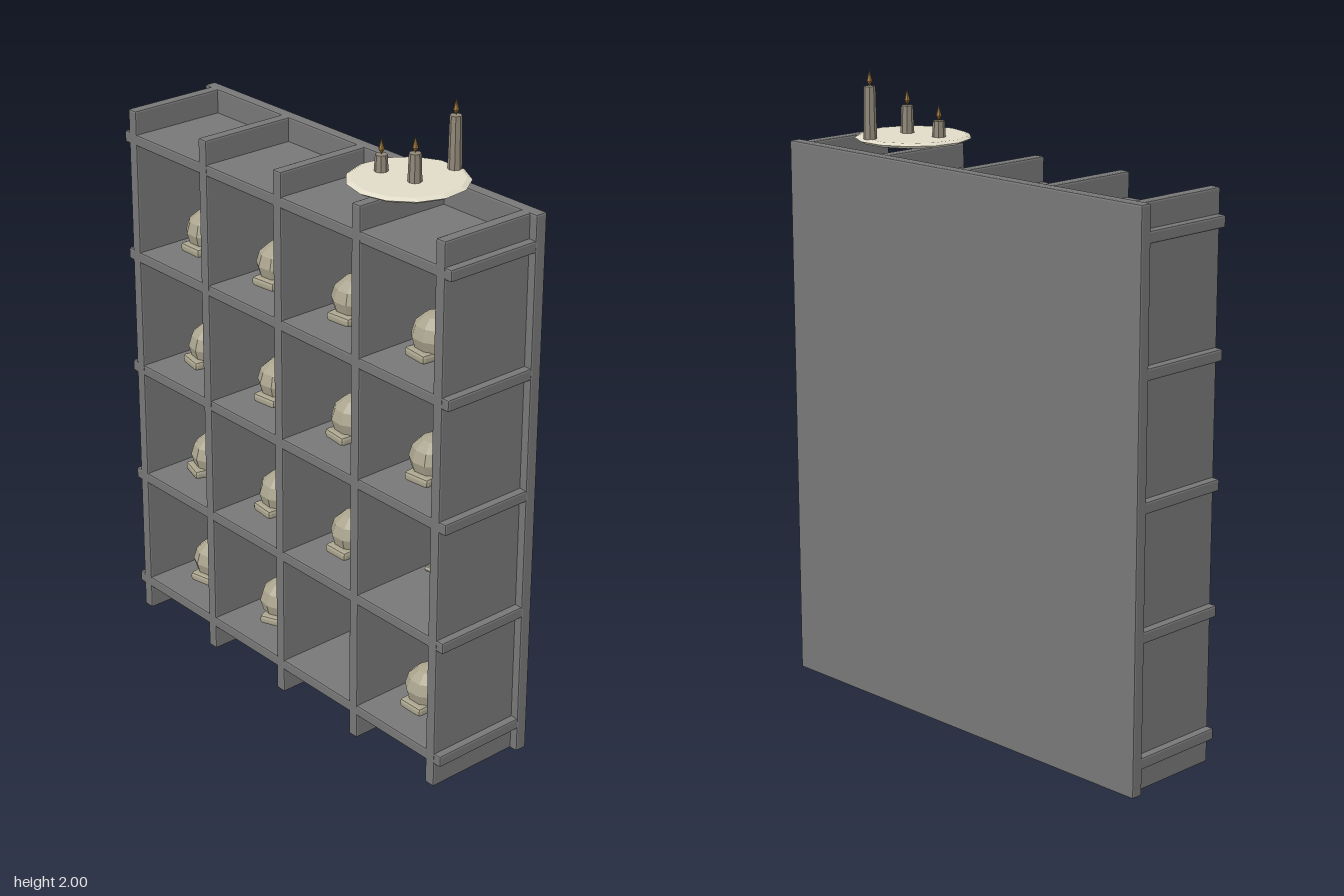
import * as THREE from 'three';
import { RoundedBoxGeometry } from 'three/addons/geometries/RoundedBoxGeometry.js';

const material = (color) => new THREE.MeshStandardMaterial({ color, flatShading: true });
const wood = material(0x777777);
const bone = material(0xaaa48e);
const wax = material(0x8f8778);
const cream = material(0xe0dbc8);
const flameGold = material(0x9a7433);

function add(parent, name, geometry, mat, x = 0, y = 0, z = 0) {
  const mesh = new THREE.Mesh(geometry, mat);
  mesh.name = name;
  mesh.position.set(x, y, z);
  parent.add(mesh);
  return mesh;
}

const plank = (w, h, d) => new RoundedBoxGeometry(w, h, d, 1, 0.006);

// Skull: faceted cranium with a small jaw at the front
function makeSkull(yaw) {
  const skull = new THREE.Group();
  skull.name = 'skull';
  const cranium = add(skull, 'cranium', new THREE.SphereGeometry(0.077, 10, 6), bone);
  cranium.scale.y = 0.92;
  add(skull, 'jaw', new RoundedBoxGeometry(0.09, 0.03, 0.06, 1, 0.01), bone, 0, -0.047, 0.055);
  skull.rotation.y = yaw;
  return skull;
}

// Two thin bones lying crossed at a shallow angle
function makeCrossedBones() {
  const bones = new THREE.Group();
  bones.name = 'crossedBones';
  for (const side of [-1, 1]) {
    const rod = add(bones, 'bone', new THREE.CylinderGeometry(0.009, 0.009, 0.22, 6), bone, 0, side * 0.002, 0);
    rod.rotation.set(0, side * 0.22, Math.PI / 2);
  }
  return bones;
}

// Candle with a pointed flame; its foot is at the group origin
function makeCandle(height) {
  const candle = new THREE.Group();
  candle.name = 'candle';
  add(candle, 'candleBody', new THREE.CylinderGeometry(0.018, 0.021, height, 8), wax, 0, height / 2, 0);
  const profile = [[0, 0], [0.009, 0.015], [0, 0.05]].map(([r, y]) => new THREE.Vector2(r, y));
  add(candle, 'flame', new THREE.LatheGeometry(profile, 6), flameGold, 0, height, 0);
  return candle;
}

export function createModel() {
  const model = new THREE.Group();
  model.name = 'boneShelf';

  // Shelf lattice: back panel, five uprights and five boards
  const shelf = new THREE.Group();
  shelf.name = 'shelf';
  model.add(shelf);
  const stepX = 0.345, stepY = 0.389, bottomY = 0.098;
  add(shelf, 'backPanel', plank(1.47, 1.75, 0.04), wood, 0, 0.875, -0.16);
  for (let i = 0; i < 5; i++) {
    add(shelf, 'upright', plank(0.037, 1.748, 0.357), wood, (i - 2) * stepX, 0.875, 0.0015);
    add(shelf, 'board', plank(1.466, 0.037, 0.355), wood, 0, bottomY + i * stepY, 0.0005);
  }

  // Contents, bottom row first: s = skull, b = bones, x = both
  const rows = ['sxbs', 'sxxb', 'sssx', 'xsss'];
  const yaws = [
    [0.2, 0.4, 0, 0],
    [-0.3, -0.1, 0, 0],
    [-0.2, 0.1, -0.1, 0.1],
    [0, 0.1, 0.1, -0.1],
  ];
  rows.forEach((row, r) => [...row].forEach((kind, c) => {
    const x = (c - 1.5) * stepX;
    const y = bottomY + r * stepY + 0.0185;
    if (kind !== 'b') {
      const skull = makeSkull(yaws[r][c]);
      skull.position.set(x, y + 0.083, 0.02);
      model.add(skull);
    }
    if (kind !== 's') {
      const bones = makeCrossedBones();
      bones.position.set(x, y + 0.024, -0.08);
      model.add(bones);
    }
  }));

  // Thin dish on top carrying three candles
  const dish = new THREE.Group();
  dish.name = 'candleDish';
  dish.position.set(0.365, 1.775, 0);
  model.add(dish);
  const dishProfile = [[0, 0], [0.165, 0], [0.18, 0.009], [0.165, 0.016], [0, 0.016]]
    .map(([r, y]) => new THREE.Vector2(r, y));
  add(dish, 'dish', new THREE.LatheGeometry(dishProfile, 13), cream);
  for (const [x, z, height] of [[0.035, -0.145, 0.16], [-0.087, 0.025, 0.05], [0.037, 0.01, 0.085]]) {
    const candle = makeCandle(height);
    candle.position.set(x, 0.015, z);
    dish.add(candle);
  }

  return model;
}
